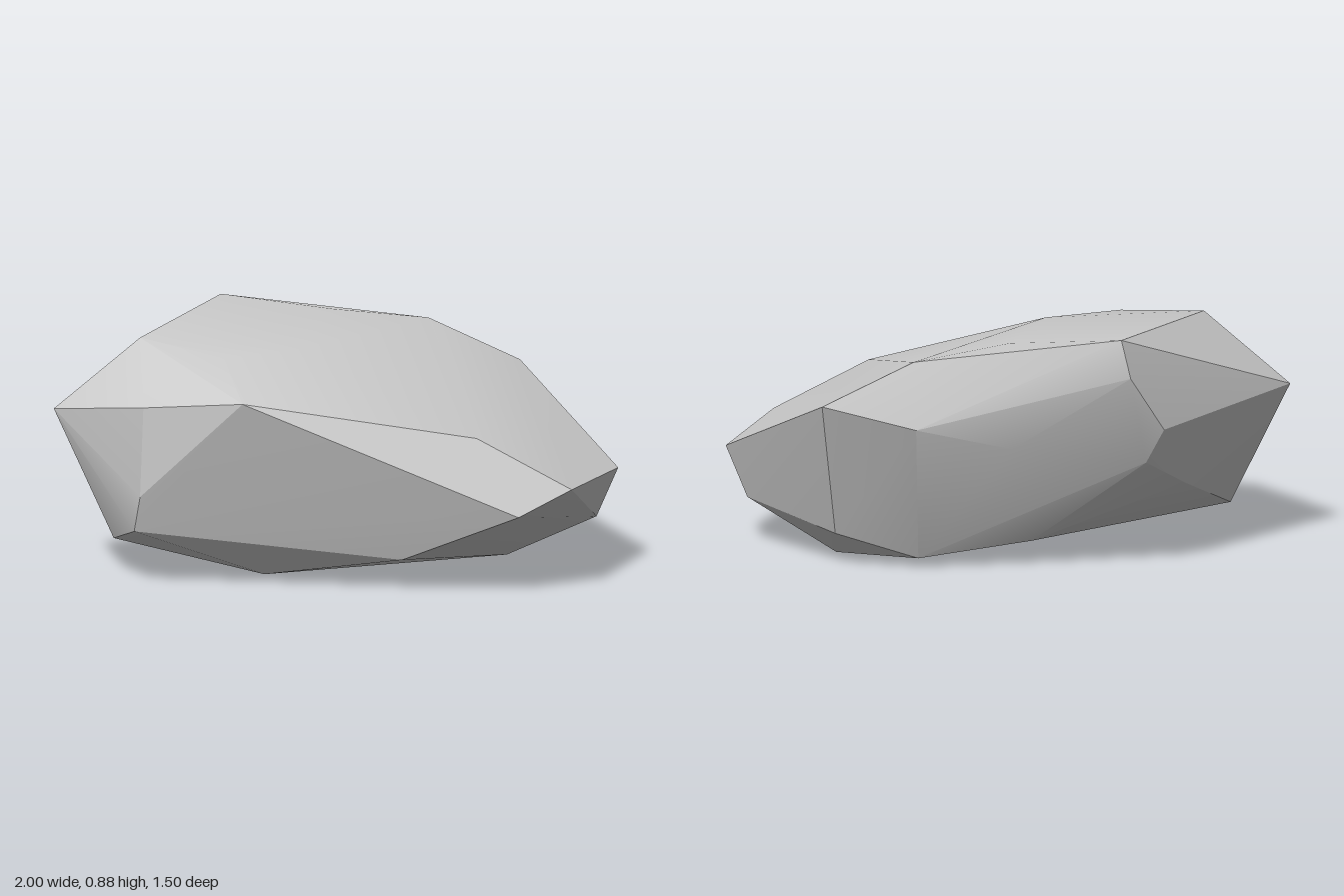
import * as THREE from 'three';
import { ConvexGeometry } from 'three/addons/geometries/ConvexGeometry.js';
import { toCreasedNormals } from 'three/addons/utils/BufferGeometryUtils.js';

// Corners of the chipped boulder, grouped by region
const top = [
  [-0.70, 0.845, -0.14], [-0.26, 0.88, -0.73], [0.11, 0.845, -0.53], [0.47, 0.795, -0.545],
  [-0.15, 0.81, 0.03], [-0.45, 0.805, 0.12], [-0.47, 0.705, 0.50], [0.38, 0.56, 0.595],
];
const sides = [
  [-1, 0.58, -0.23], [-0.78, 0.66, 0.25], [-0.79, 0.33, 0.24], [-0.80, 0.195, 0.19],
  [0.80, 0.635, -0.50], [1, 0.355, 0.20], [0.93, 0.17, 0.155],
  [0.71, 0.375, 0.695], [0.50, 0.29, 0.745],
];
const back = [
  [-0.29, 0.74, -0.75], [-0.43, 0.53, -0.68], [-0.37, 0.405, -0.65],
  [0.13, 0.48, -0.66], [0.48, 0.56, -0.63], [-0.56, 0.28, -0.455],
];
const bottom = [
  [0.65, 0, -0.07], [0.02, 0.006, -0.05], [-0.32, 0.02, 0.21], [0.12, 0.11, 0.52],
  [-0.58, 0.22, 0.28], [-0.81, 0.12, -0.09], [0.01, 0.09, -0.445],
  [0.42, 0.035, -0.40], [0.706, 0.12, -0.30],
];

export function createModel() {
  const group = new THREE.Group();
  group.name = 'rock';

  // Faceted hull; shallow edges are blended, strong ones stay crisp
  const corners = [...top, ...sides, ...back, ...bottom].map((p) => new THREE.Vector3(...p));
  const geometry = toCreasedNormals(new ConvexGeometry(corners), 0.4);
  const boulder = new THREE.Mesh(geometry, new THREE.MeshStandardMaterial({ color: 0xcccccc }));
  boulder.name = 'boulder';
  group.add(boulder);

  return group;
}
